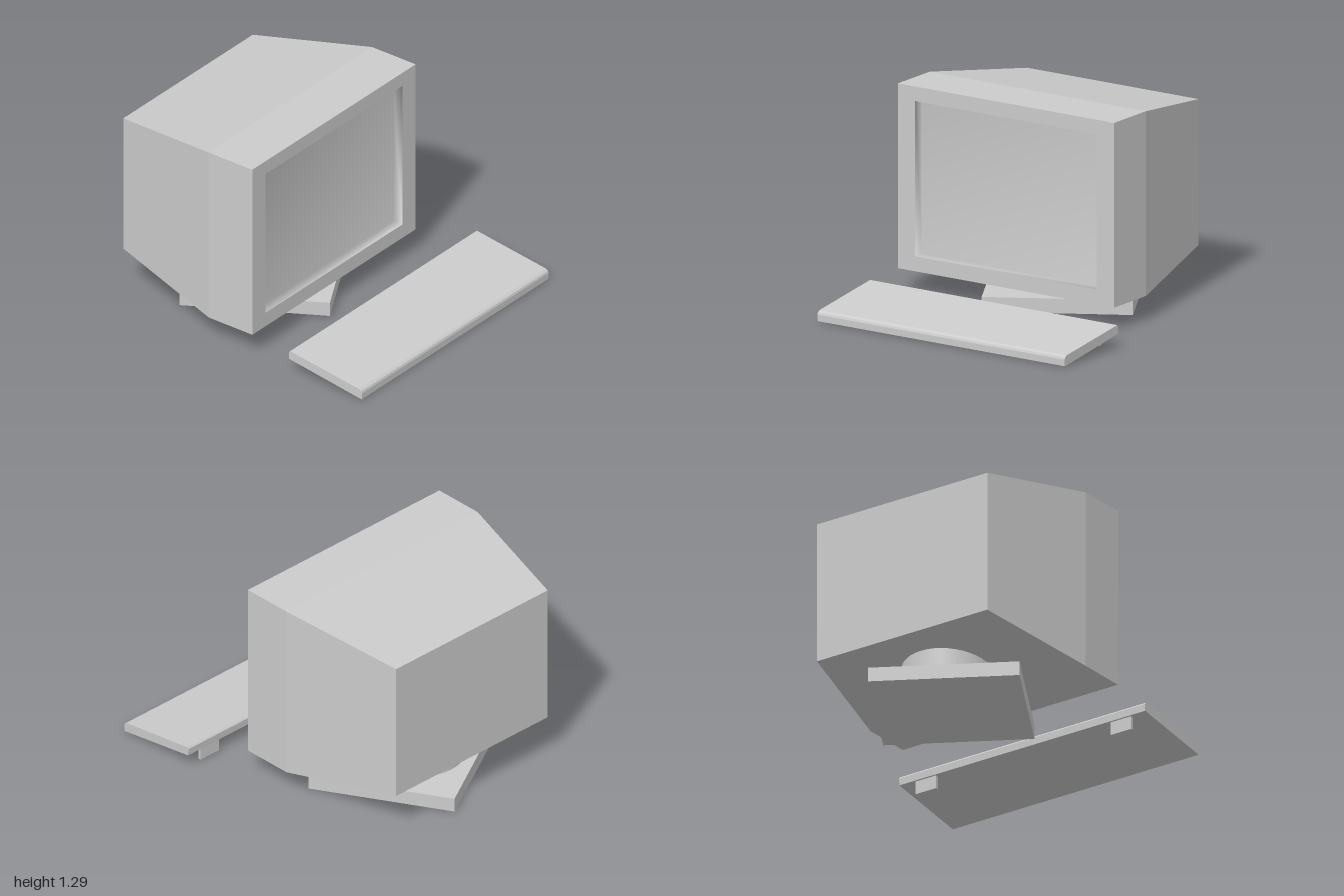
import * as THREE from 'three';

const grey = (extra = {}) => new THREE.MeshStandardMaterial({ color: 0xcccccc, ...extra });

function add(parent, name, geometry, material, x = 0, y = 0, z = 0) {
  const mesh = new THREE.Mesh(geometry, material);
  mesh.name = name;
  mesh.position.set(x, y, z);
  parent.add(mesh);
  return mesh;
}

// Skin over rectangular sections running from back to front: [halfWidth, bottom, top, z]
function loftRectangles(sections, capBack, capFront) {
  const points = [];
  const index = [];
  for (const [w, lo, hi, z] of sections) {
    points.push(-w, lo, z, w, lo, z, w, hi, z, -w, hi, z);
  }
  for (let s = 0; s < sections.length - 1; s++) {
    for (let i = 0; i < 4; i++) {
      const a = s * 4 + i;
      const b = s * 4 + (i + 1) % 4;
      index.push(a, b, b + 4, a, b + 4, a + 4);
    }
  }
  const f = (sections.length - 1) * 4;
  if (capBack) index.push(0, 2, 1, 0, 3, 2);
  if (capFront) index.push(f, f + 1, f + 2, f, f + 2, f + 3);
  const geometry = new THREE.BufferGeometry();
  geometry.setAttribute('position', new THREE.Float32BufferAttribute(points, 3));
  geometry.setIndex(index);
  geometry.computeVertexNormals();
  return geometry;
}

function buildMonitor() {
  const monitor = new THREE.Group();
  monitor.name = 'monitor';
  monitor.position.x = -0.113;

  // Tapered rear housing
  const joint = [0.789, 0.15, 1.29, -0.16];
  const housing = [[0.625, 0.27, 1.17, -0.935], joint];
  add(monitor, 'housing', loftRectangles(housing, true, false), grey({ flatShading: true }));

  // Straight front frame with a flat rim
  const rim = [0.789, 0.15, 1.29, 0.17];
  const opening = [0.662, 0.243, 1.2, 0.17];
  add(monitor, 'frame', loftRectangles([joint, rim, opening], false, false), grey({ flatShading: true }));

  // Screen set back behind the rim, softly shaded into its walls
  const screen = [0.662, 0.243, 1.2, 0.1];
  add(monitor, 'screen', loftRectangles([opening, screen], false, true), grey());
  return monitor;
}

function buildStand() {
  const stand = new THREE.Group();
  stand.name = 'stand';
  // Square foot plate, swivelled under the monitor
  const plate = add(stand, 'basePlate', new THREE.BoxGeometry(0.906, 0.09, 0.906), grey(), -0.075, 0.045, -0.379);
  plate.rotation.y = Math.PI / 6;
  // Round swivel
  add(stand, 'swivel', new THREE.CylinderGeometry(0.279, 0.285, 0.16, 40), grey(), -0.115, 0.17, -0.467);
  return stand;
}

function buildKeyboard() {
  const keyboard = new THREE.Group();
  keyboard.name = 'keyboard';

  // Wedge profile drawn as (-z, y), swept along x
  const profile = new THREE.Shape([
    [-1.0, 0.005], [-0.99, 0.004], [-0.45, 0.085], [-0.448, 0.13],
    [-0.456, 0.14], [-0.98, 0.068], [-0.995, 0.058], [-1.0, 0.045],
  ].map(([x, y]) => new THREE.Vector2(x, y)));
  const slab = new THREE.ExtrudeGeometry(profile, { depth: 1.804, bevelEnabled: false });
  slab.translate(0, 0, -0.902).rotateY(Math.PI / 2);
  add(keyboard, 'keyboardSlab', slab, grey());

  // Rear feet
  for (const side of [-1, 1]) {
    add(keyboard, side > 0 ? 'leftFoot' : 'rightFoot',
      new THREE.BoxGeometry(0.15, 0.09, 0.02), grey(), side * 0.715, 0.045, 0.47);
  }
  return keyboard;
}

export function createModel() {
  const model = new THREE.Group();
  model.name = 'desktopTerminal';
  model.add(buildMonitor(), buildStand(), buildKeyboard());
  return model;
}
